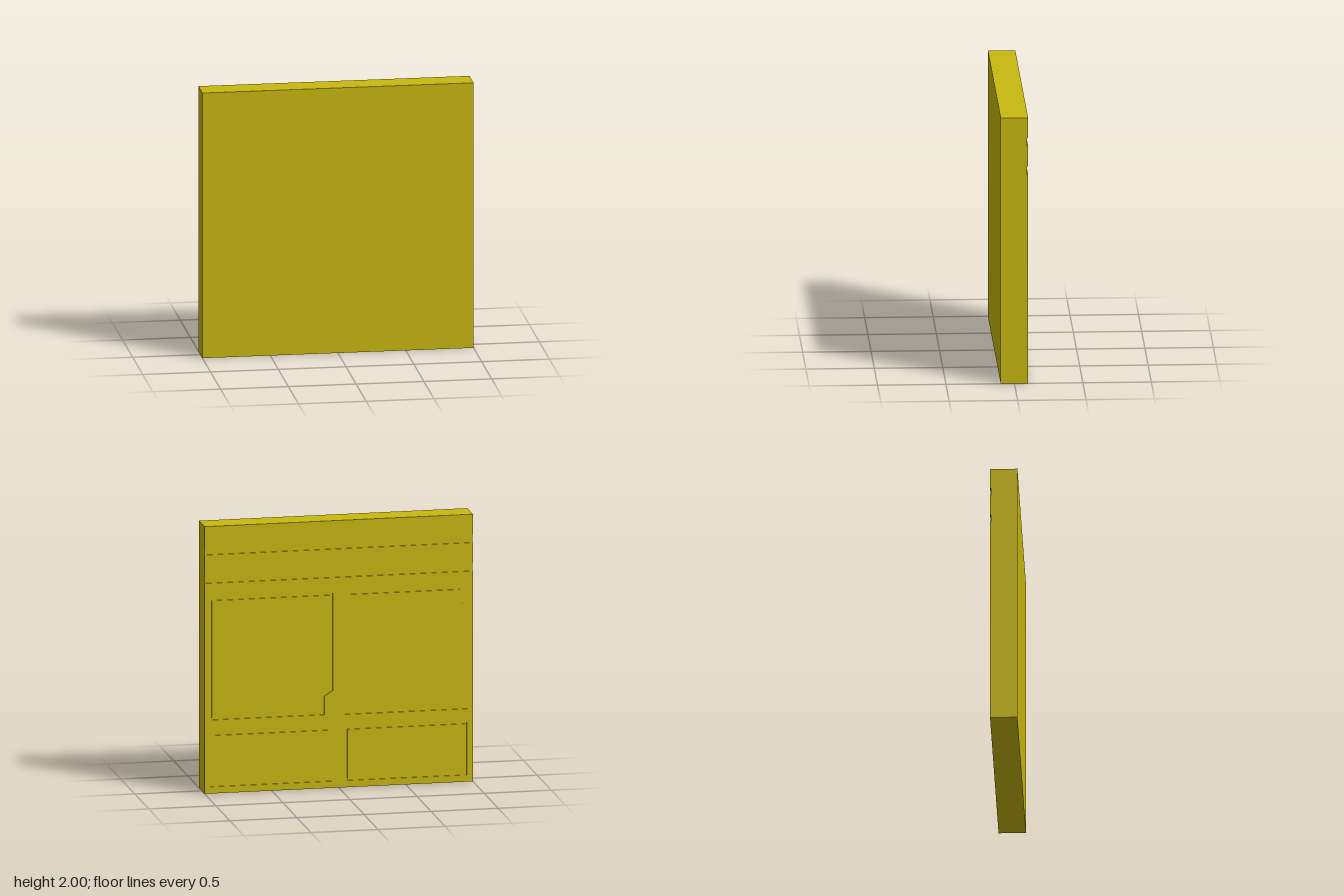
import * as THREE from 'three';

const DEPTH = 0.008;   // depth of the grooves in the back
const GROOVE = 0.014;  // width of the groove round each panel
const BACK = -0.1;

// counter-clockwise outlines of the four back panels
const rect = (x0, y0, x1, y1) => [[x0, y0], [x1, y0], [x1, y1], [x0, y1]];
const panels = {
  upperLeftPanel: [[0.108, 0.55], [0.96, 0.55], [0.96, 1.457], [0.045, 1.457], [0.045, 0.73], [0.108, 0.687]],
  upperRightPanel: [[-0.96, 0.545], [-0.045, 0.545], [-0.045, 1.455], [-0.915, 1.455], [-0.915, 1.361], [-0.96, 1.318]],
  lowerLeftPanel: rect(0.05, 0.05, 0.955, 0.447),
  lowerRightPanel: rect(-0.955, 0.05, -0.05, 0.447),
};

const toVectors = (points) => points.map(([x, y]) => new THREE.Vector2(x, y));

// move every side of an outline inward by d
function inset(points, d) {
  const n = points.length;
  const normal = (a, b) => new THREE.Vector2(a.y - b.y, b.x - a.x).normalize();
  return points.map((p, i) => {
    const n1 = normal(points[(i + n - 1) % n], p);
    const n2 = normal(p, points[(i + 1) % n]);
    const k = d / (1 + n1.dot(n2));
    return p.clone().addScaledVector(n1.add(n2), k);
  });
}

export function createModel() {
  const model = new THREE.Group();
  model.name = 'wallPanel';
  const material = new THREE.MeshStandardMaterial({ color: 0xc8b80f });

  const add = (name, geometry, x = 0, y = 0, z = 0) => {
    const mesh = new THREE.Mesh(geometry, material);
    mesh.name = name;
    mesh.position.set(x, y, z);
    model.add(mesh);
  };
  const addLayer = (name, shape) =>
    add(name, new THREE.ExtrudeGeometry(shape, { depth: DEPTH, bevelEnabled: false }), 0, 0, BACK);

  // solid slab with a plain front
  add('slab', new THREE.BoxGeometry(2, 2, 0.2 - DEPTH), 0, 1, DEPTH / 2);

  // back plate, cut open round the panels
  const plate = new THREE.Shape(toVectors(rect(-1, 0, 1, 1.574)));
  for (const [name, points] of Object.entries(panels)) {
    const outline = toVectors(points);
    plate.holes.push(new THREE.Path(outline));
    addLayer(name, new THREE.Shape(inset(outline, GROOVE)));
  }
  addLayer('backPlate', plate);

  // bands at the top, with two horizontal grooves between them
  addLayer('middleBand', new THREE.Shape(toVectors(rect(-1, 1.633, 1, 1.787))));
  addLayer('topBand', new THREE.Shape(toVectors(rect(-1, 1.848, 1, 2))));

  return model;
}
